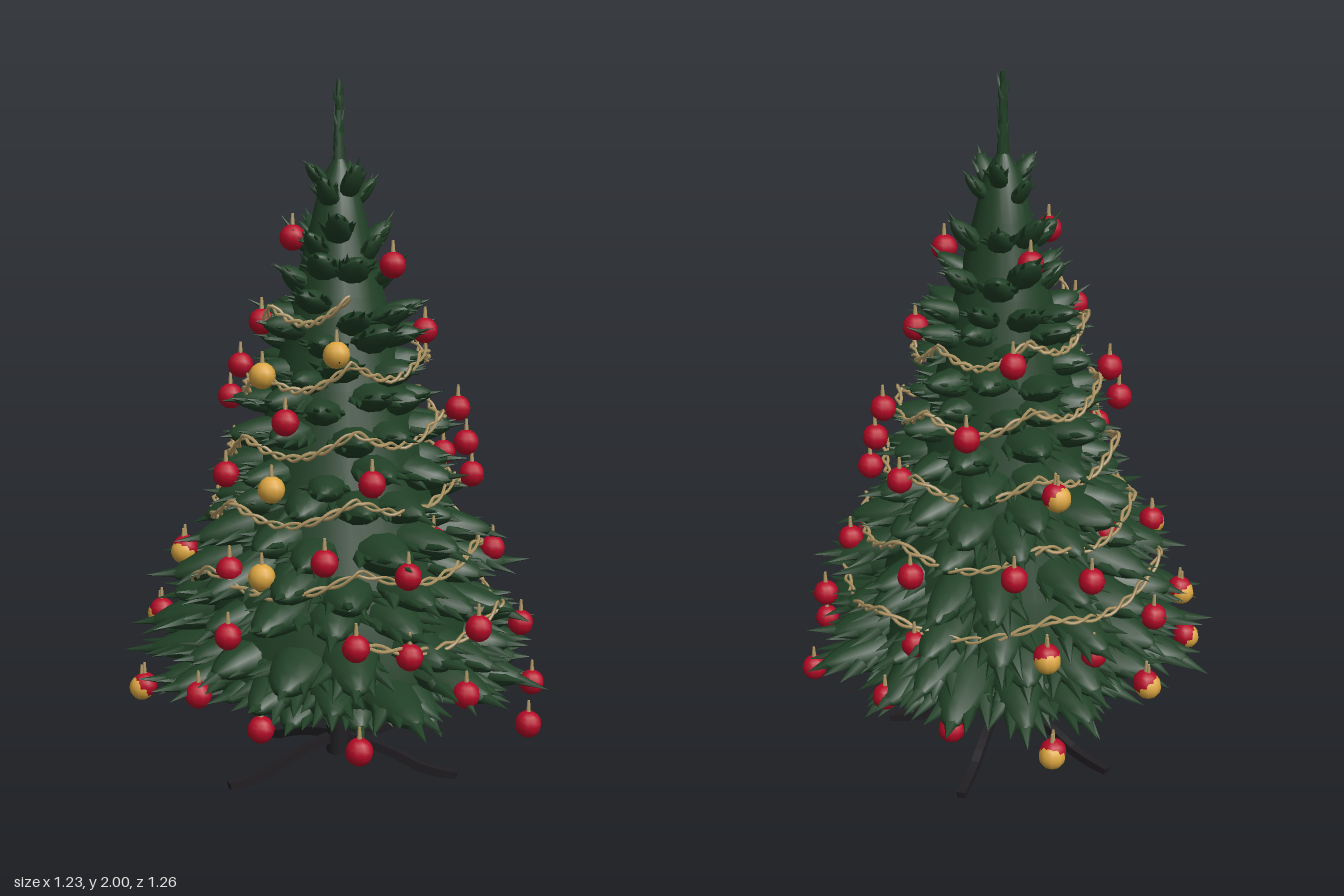
import * as THREE from 'three';
import { mergeGeometries } from 'three/addons/utils/BufferGeometryUtils.js';

const mat = (name, color) => {
  const m = new THREE.MeshStandardMaterial({ color });
  m.name = name;
  return m;
};

// small seeded random, -1..1
let seed = 7;
const rnd = () => {
  seed = (seed * 16807) % 2147483647;
  return (seed / 2147483647) * 2 - 1;
};

// tiers: [tip height, tip radius, branch count, droop angle, width]
const TIERS = [
  [0.27, 0.49, 13, 0.42, 0.15], [0.32, 0.59, 16, 0.30, 0.16], [0.41, 0.55, 15, 0.32, 0.16],
  [0.51, 0.53, 14, 0.30, 0.16], [0.61, 0.50, 13, 0.28, 0.155], [0.72, 0.44, 12, 0.26, 0.15],
  [0.81, 0.40, 12, 0.22, 0.145], [0.91, 0.37, 11, 0.18, 0.135], [1.01, 0.345, 10, 0.12, 0.13],
  [1.11, 0.31, 10, 0.06, 0.12], [1.21, 0.285, 9, 0.0, 0.12], [1.30, 0.255, 9, -0.1, 0.11],
  [1.39, 0.25, 8, -0.25, 0.10], [1.50, 0.20, 8, -0.45, 0.09], [1.61, 0.165, 7, -0.6, 0.08],
  [1.75, 0.12, 6, -0.75, 0.06],
];

// radius of the tree's outline at a height
function outline(y) {
  for (let i = 2; i < TIERS.length; i++) {
    const [y0, r0] = TIERS[i - 1], [y1, r1] = TIERS[i];
    if (y <= y1) return r0 + ((r1 - r0) * (y - y0)) / (y1 - y0);
  }
  return 0.08;
}

// pointed needle cluster starting at (x,y,z), turned by yaw and pitch
function spike(length, radius, x, y, z, yaw, pitch) {
  const g = new THREE.ConeGeometry(radius, length, 5, 1);
  g.translate(0, length / 2, 0).scale(1, 1, 0.7).rotateX(Math.PI / 2);
  return g.rotateX(-pitch).rotateY(yaw).translate(x, y, z);
}

// one bough along +z: a plump tapered body with a ragged fan of points
function branch(L, W) {
  const body = new THREE.SphereGeometry(0.5, 10, 8);
  body.rotateX(Math.PI / 2).translate(0, 0, 0.5);
  const p = body.attributes.position;
  for (let i = 0; i < p.count; i++) {
    const t = p.getZ(i), taper = 1.05 - 0.3 * t * t;
    p.setXYZ(i, p.getX(i) * W * taper, p.getY(i) * W * 0.7 * taper, t * L * 0.88);
  }
  body.computeVertexNormals();
  const parts = [body];
  // fan at the tip
  for (const a of [-0.5, -0.25, 0, 0.25, 0.5]) {
    parts.push(spike(W * (0.62 + 0.12 * rnd()), W * 0.17, a * W * 0.75, 0, L * 0.97 - W * (0.5 + Math.abs(a)),
      a * 0.9 + 0.12 * rnd(), 0.25 * rnd()));
  }
  // a few ragged points along the sides
  for (const s of [-1, 1]) {
    parts.push(spike(W * 0.5, W * 0.14, s * W * 0.34, 0, L * (0.52 + 0.06 * rnd()), s * 0.45, 0.3 * rnd()));
  }
  const g = mergeGeometries(parts);
  // tip curls up slightly
  const q = g.attributes.position;
  for (let i = 0; i < q.count; i++) {
    const t = Math.max(0, q.getZ(i) / L);
    q.setY(i, q.getY(i) + 0.1 * L * t * t);
  }
  g.computeVertexNormals();
  return g;
}

// baubles [x, y, z]; the paired ones are repeated half a turn round the tree
const PAIRED_RED = [
  [-0.18, 1.085, 0.285], [0.33, 0.92, -0.13], [0.04, 0.93, 0.37], [-0.095, 0.74, 0.445],
  [0.23, 0.745, 0.245], [0.13, 0.69, 0.42], [-0.02, 0.525, 0.5], [0.33, 0.53, 0.38], [0.13, 0.48, 0.45],
  [-0.34, 0.515, 0.32], [-0.42, 0.345, 0.29], [-0.26, 0.28, 0.40], [0.44, 0.67, 0.06], [0.51, 0.465, 0.13],
  [0.28, 0.375, 0.465], [-0.02, 0.27, 0.565], [0.565, 0.26, 0.06],
];
const SINGLE_RED = [
  [-0.13, 1.56, 0], [0.13, 1.49, 0.14], [-0.04, 1.5, -0.13], [-0.22, 1.33, 0.03], [0.24, 1.30, 0.035],
  [0.04, 1.26, -0.24], [-0.27, 1.19, -0.13], [-0.30, 1.10, -0.13], [0.34, 1.075, 0.025], [0.36, 0.98, 0.05],
  [0.375, 0.89, 0.06], [-0.33, 0.68, 0.25], [0.33, 0.68, -0.24], [0.475, 0.25, 0.37],
];
const GOLD = [
  [-0.04, 1.26, 0.26], [-0.23, 1.195, 0.16], [-0.22, 0.91, 0.31], [-0.25, 0.68, 0.34], [-0.445, 0.66, -0.055],
  [-0.045, 0.925, -0.376], [0.02, 0.517, -0.506], [-0.515, 0.455, -0.135], [-0.285, 0.367, -0.47],
  [0.025, 0.262, -0.572], [-0.573, 0.253, -0.06],
];

export function createModel() {
  const tree = new THREE.Group();
  tree.name = 'decoratedTree';
  const green = mat('needle green', 0x214026);
  const red = mat('bauble red', 0xb50a26);
  const gold = mat('bauble gold', 0xdba540);
  const straw = mat('garland straw', 0xb59b68);
  const black = mat('stand black', 0x201e21);
  const add = (geo, material, name, parent = tree) => {
    const m = new THREE.Mesh(geo, material);
    m.name = name;
    parent.add(m);
    return m;
  };

  // dense inner foliage, slightly hollow underneath
  const profile = [[0.001, 0.37], [0.2, 0.34], [0.38, 0.3], [0.4, 0.38], [0.34, 0.6], [0.26, 0.85],
    [0.19, 1.15], [0.13, 1.4], [0.08, 1.6], [0.05, 1.72], [0.001, 1.8]];
  add(new THREE.LatheGeometry(profile.map(([x, y]) => new THREE.Vector2(x, y)), 20), green, 'innerFoliage');

  // tiers of boughs
  TIERS.forEach(([y, R, n, droop, W], k) => {
    const boughs = [];
    for (let i = 0; i < n; i++) {
      const r = R * (1 + 0.08 * rnd()), pitch = droop + 0.1 * rnd();
      const reach = r * 0.72;
      const L = reach / Math.cos(pitch);
      const g = branch(L, W * (1 + 0.12 * rnd()));
      g.rotateX(pitch).translate(0, y + L * Math.sin(pitch) - 0.06 * L + 0.03 * rnd(), r - reach);
      g.rotateY(((i + (k % 2) / 2 + 0.22 * rnd()) / n) * Math.PI * 2);
      boughs.push(g);
    }
    add(mergeGeometries(boughs), green, 'branchTier' + (k + 1));
  });

  // top shoot with short needles
  const shoot = [new THREE.CylinderGeometry(0.007, 0.022, 0.31, 7).translate(0, 1.835, 0)];
  for (let i = 0; i < 18; i++) {
    shoot.push(spike(0.036, 0.009, 0, 0, 0.008, 0, 1.3).rotateY(i * 2.4).translate(0, 1.74 + i * 0.013, 0));
  }
  add(mergeGeometries(shoot), green, 'topShoot');

  // baubles with hanging loops
  const ball = new THREE.SphereGeometry(0.037, 10, 8);
  const hanger = new THREE.CylinderGeometry(0.004, 0.007, 0.035, 5).translate(0, 0.05, 0);
  const hang = ([x, y, z], material, name) => {
    const g = new THREE.Group();
    g.name = name;
    g.position.set(x, y, z);
    add(ball, material, 'ball', g);
    add(hanger, straw, 'hanger', g);
    tree.add(g);
  };
  PAIRED_RED.forEach(([x, y, z]) => {
    hang([x, y, z], red, 'redBauble');
    hang([-x, y, -z], red, 'redBauble');
  });
  SINGLE_RED.forEach((p) => hang(p, red, 'redBauble'));
  GOLD.forEach((p) => hang(p, gold, 'goldBauble'));

  // garland of two twisted strands, spiralling up in sagging swags
  const TURNS = 5, SWAGS = 6, STEPS = 900;
  for (const phase of [0, Math.PI]) {
    const pts = [];
    for (let i = 0; i <= STEPS; i++) {
      const f = i / STEPS, s = (f * TURNS * SWAGS) % 1, sag = Math.sin(s * Math.PI);
      const twist = phase + f * TURNS * 130;
      const y = 0.5 + 0.88 * f - 0.06 * sag;
      const a = f * TURNS * Math.PI * 2;
      const r = outline(y) * (0.93 - 0.09 * sag) + 0.008 * Math.cos(twist);
      pts.push(new THREE.Vector3(Math.sin(a) * r, y + 0.03 + 0.008 * Math.sin(twist), Math.cos(a) * r));
    }
    add(new THREE.TubeGeometry(new THREE.CatmullRomCurve3(pts), STEPS, 0.005, 4), straw, 'garlandStrand');
  }

  // trunk and splayed stand legs
  add(new THREE.CylinderGeometry(0.033, 0.033, 0.5, 12).translate(0, 0.3, 0), black, 'trunk');
  add(new THREE.CylinderGeometry(0.036, 0.036, 0.08, 12).translate(0, 0.095, 0), black, 'standCollar');
  const legShape = new THREE.Shape();
  legShape.moveTo(0.02, 0.122);
  legShape.quadraticCurveTo(0.14, 0.1, 0.24, 0.047);
  legShape.quadraticCurveTo(0.3, 0.03, 0.355, 0.028);
  legShape.lineTo(0.352, 0.008);
  legShape.quadraticCurveTo(0.29, 0.005, 0.23, 0.024);
  legShape.quadraticCurveTo(0.14, 0.075, 0.02, 0.095);
  const legGeo = new THREE.ExtrudeGeometry(legShape, { depth: 0.024, bevelEnabled: false, curveSegments: 6 });
  legGeo.translate(0, -0.008, -0.012);
  for (const [x, z] of [[0.33, 0.12], [-0.33, 0.12], [0.22, -0.335], [-0.22, -0.335]]) {
    const leg = add(legGeo, black, 'standLeg');
    leg.rotation.y = Math.atan2(-z, x);
    leg.scale.x = Math.hypot(x, z) / 0.352;
  }
  return tree;
}
